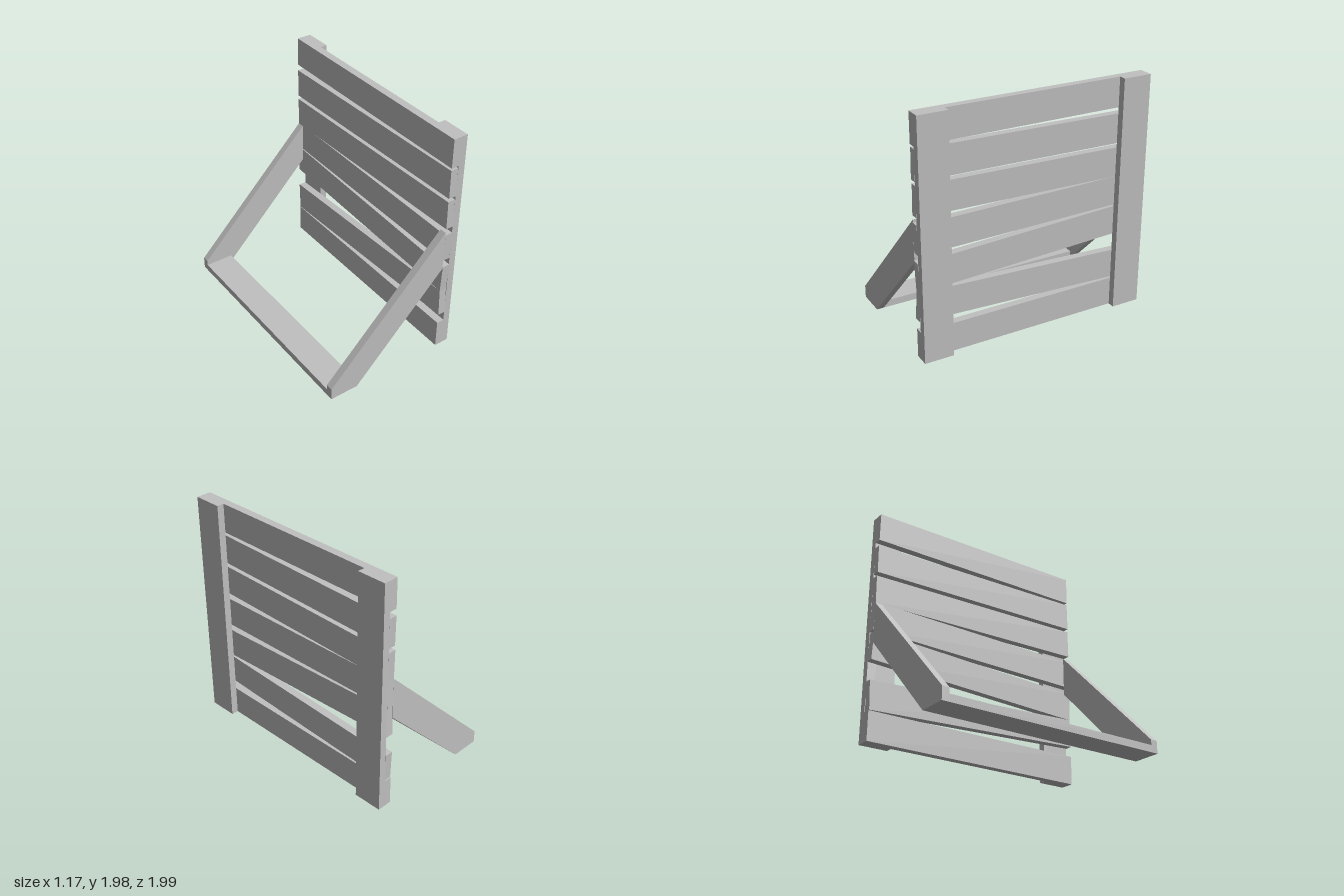
import * as THREE from 'three';

export function createModel() {
  const group = new THREE.Group();
  const wood = new THREE.MeshStandardMaterial({ color: 0xc0c0c0 });
  wood.name = 'grey wood';

  const addBox = (name, size, pos, tilt = 0) => {
    const mesh = new THREE.Mesh(new THREE.BoxGeometry(...size), wood);
    mesh.name = name;
    mesh.position.set(...pos);
    mesh.rotation.x = tilt;
    group.add(mesh);
  };

  // Slats: [centre height, rise from the +z post to the -z post]
  const slats = [
    [0.1225, 0], [0.415, -0.065], [0.745, 0.065], [1.025, 0.025],
    [1.296, -0.027], [1.575, -0.025], [1.8575, 0],
  ];
  slats.forEach(([y, rise], i) =>
    addBox(`slat${i + 1}`, [0.065, 0.245, 1.98], [0.4925, y, 0], Math.atan2(rise, 1.49)));

  // Braced legs, cut flat at the floor and against the slats
  const legShape = new THREE.Shape([
    [-0.59, 0], [-0.345, 0], [0.46, 0.81], [0.46, 1.155], [-0.59, 0.105],
  ].map(([x, y]) => new THREE.Vector2(x, y)));
  const legGeometry = new THREE.ExtrudeGeometry(legShape, { depth: 0.06, bevelEnabled: false });
  legGeometry.translate(0, 0, -0.03);

  for (const side of [1, -1]) {
    const name = side > 0 ? 'front' : 'back';
    addBox(`${name}Post`, [0.06, 1.98, 0.245], [0.555, 0.99, side * 0.8675]);
    const leg = new THREE.Mesh(legGeometry, wood);
    leg.name = `${name}Leg`;
    leg.position.z = side * 0.96;
    group.add(leg);
  }

  // Floor board joining the legs
  addBox('floorBoard', [0.245, 0.06, 1.86], [-0.4675, 0.03, 0]);

  return group;
}
